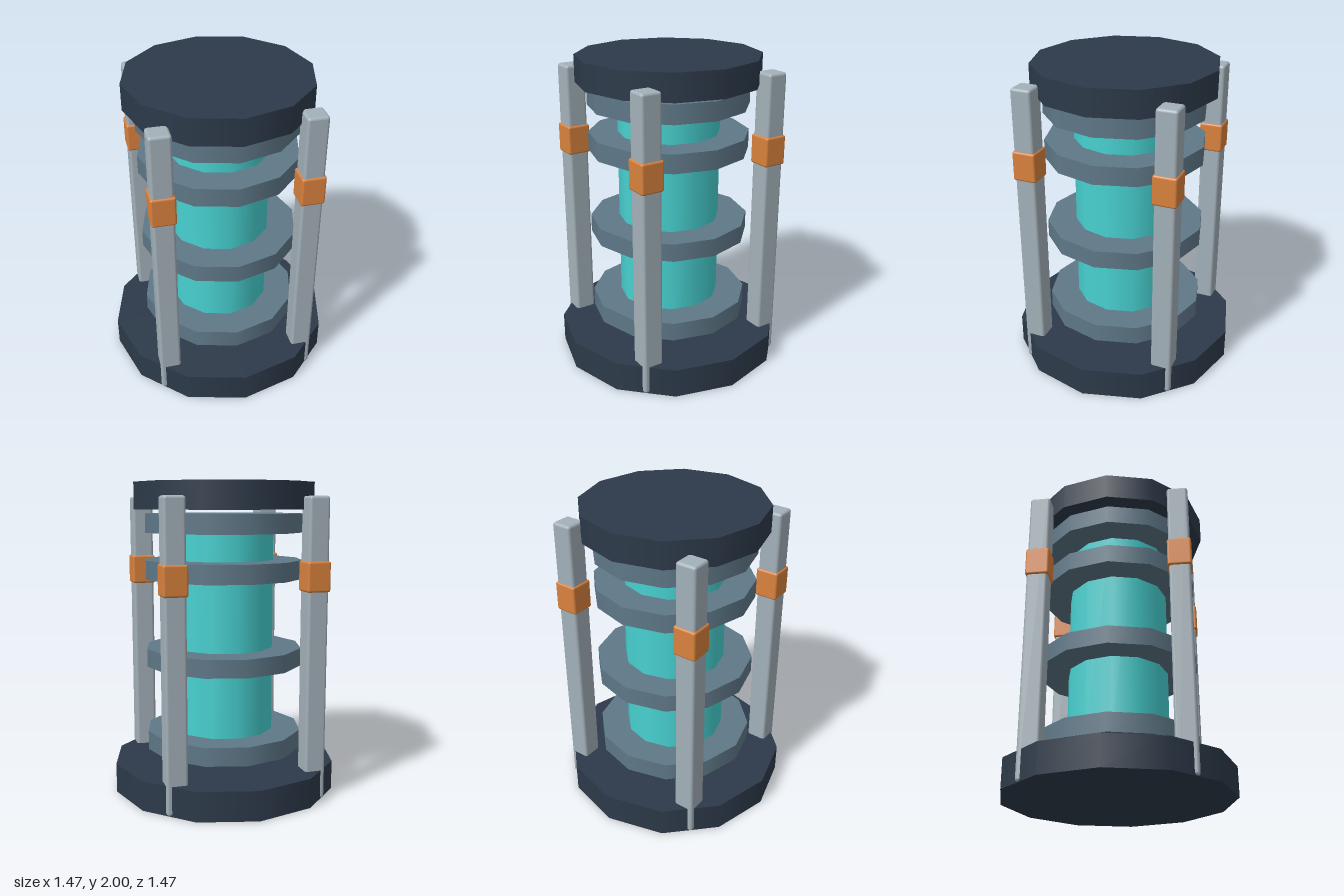
import * as THREE from 'three';
import { RoundedBoxGeometry } from 'three/addons/geometries/RoundedBoxGeometry.js';

const SIDES = 12;
const material = (color) => new THREE.MeshStandardMaterial({ color });

export function createModel() {
  const model = new THREE.Group();
  model.name = 'containmentTank';

  const dark = material(0x2d3a4a);
  const slate = material(0x5f7888);
  const steel = material(0xa3b1b9);
  const orange = material(0xd9823d);
  const teal = material(0x48d1d1);

  const add = (name, geometry, mat, x, y, z) => {
    const mesh = new THREE.Mesh(geometry, mat);
    mesh.name = name;
    mesh.position.set(x, y, z);
    model.add(mesh);
  };

  // Twelve-sided drum between two heights
  const drum = (name, radius, y0, y1, mat) =>
    add(name, new THREE.CylinderGeometry(radius, radius, y1 - y0, SIDES), mat, 0, (y0 + y1) / 2, 0);

  // Base, cap and the tank between them
  drum('base', 0.733, 0, 0.19, dark);
  drum('cap', 0.585, 1.83, 2, dark);
  drum('tank', 0.327, 0.3, 1.78, teal);

  // Collars around the tank
  [[0.27, 0.39], [0.825, 0.94], [1.39, 1.51], [1.685, 1.805]].forEach(([y0, y1], i) =>
    drum(`collar${i + 1}`, 0.515, y0, y1, slate));

  // Four corner posts, each with a clamp
  const post = new RoundedBoxGeometry(0.134, 1.91, 0.134, 3, 0.018);
  const clamp = new RoundedBoxGeometry(0.152, 0.19, 0.152, 3, 0.014);
  for (const sx of [-1, 1]) {
    for (const sz of [-1, 1]) {
      const side = (sz > 0 ? 'front' : 'back') + (sx > 0 ? 'Left' : 'Right');
      add(`${side}Post`, post, steel, sx * 0.449, 0.957, sz * 0.449);
      add(`${side}Clamp`, clamp, orange, sx * 0.449, 1.425, sz * 0.449);
    }
  }
  return model;
}
